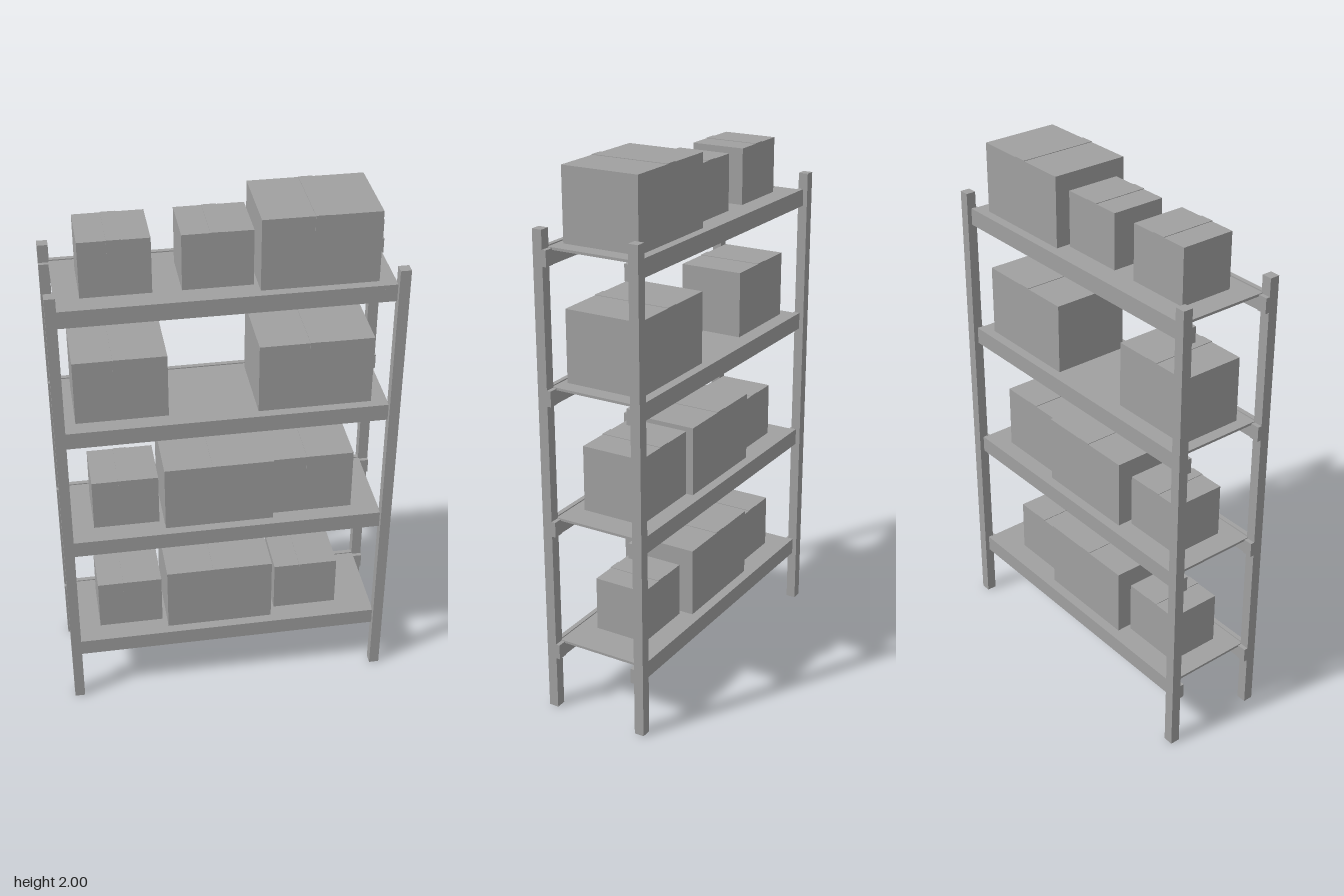
import * as THREE from 'three';

const steel = new THREE.MeshStandardMaterial({ color: 0xa0a0a0 });
steel.name = 'grey';

// Box given by its minimum and maximum corners
function block(parent, name, x0, x1, y0, y1, z0, z1) {
  const mesh = new THREE.Mesh(new THREE.BoxGeometry(x1 - x0, y1 - y0, z1 - z0), steel);
  mesh.position.set((x0 + x1) / 2, (y0 + y1) / 2, (z0 + z1) / 2);
  mesh.name = name;
  parent.add(mesh);
  return mesh;
}

// Same block on the front and the back
function frontAndBack(parent, name, x0, x1, y0, y1, z0, z1) {
  block(parent, name, x0, x1, y0, y1, z0, z1);
  block(parent, name, x0, x1, y0, y1, -z1, -z0);
}

// One level: deck, stepped beams and end brackets; top is the deck surface
function shelf(top) {
  const g = new THREE.Group();
  g.name = 'shelf';
  block(g, 'deck', -0.578, 0.578, top - 0.009, top, -0.17, 0.17);
  frontAndBack(g, 'beam', -0.578, 0.578, top - 0.06, top - 0.01, 0.155, 0.187);
  frontAndBack(g, 'beamLip', -0.578, 0.578, top - 0.01, top + 0.004, 0.17, 0.187);
  for (const x of [-0.613, 0.575]) {
    frontAndBack(g, 'bracket', x, x + 0.038, top - 0.06, top - 0.003, 0.152, 0.168);
  }
  return g;
}

// Closed carton with a tape strip over the top seam and a short tape end in front
function carton(x0, x1, y0, y1, depth) {
  const g = new THREE.Group();
  g.name = 'carton';
  const z = depth / 2, xm = (x0 + x1) / 2;
  block(g, 'cartonBody', x0, x1, y0, y1 - 0.002, -z, z);
  block(g, 'topTape', xm - 0.025, xm + 0.025, y1 - 0.002, y1, -z, z);
  block(g, 'frontTape', xm - 0.025, xm + 0.025, y1 - 0.06, y1, z, z + 0.002);
  return g;
}

export function createModel() {
  const model = new THREE.Group();
  model.name = 'storageRack';

  // Corner posts
  for (const x of [-0.613, 0.575]) {
    frontAndBack(model, 'post', x, x + 0.038, 0, 1.8, 0.167, 0.204);
  }

  // Each level: deck height, then cartons as [left, right, top, depth]
  const levels = [
    [0.265, [[-0.492, -0.248, 0.472, 0.205], [-0.23, 0.175, 0.53, 0.294], [0.195, 0.44, 0.472, 0.205]]],
    [0.756, [[-0.492, -0.248, 0.962, 0.205], [-0.23, 0.174, 1.02, 0.294], [0.176, 0.477, 1.004, 0.24]]],
    [1.246, [[-0.535, -0.205, 1.495, 0.245], [0.112, 0.52, 1.513, 0.294]]],
    [1.736, [[-0.492, -0.248, 1.944, 0.205], [-0.148, 0.096, 1.944, 0.205], [0.112, 0.52, 2.0, 0.294]]],
  ];
  for (const [top, cartons] of levels) {
    model.add(shelf(top));
    for (const [x0, x1, y1, depth] of cartons) model.add(carton(x0, x1, top, y1, depth));
  }
  return model;
}
